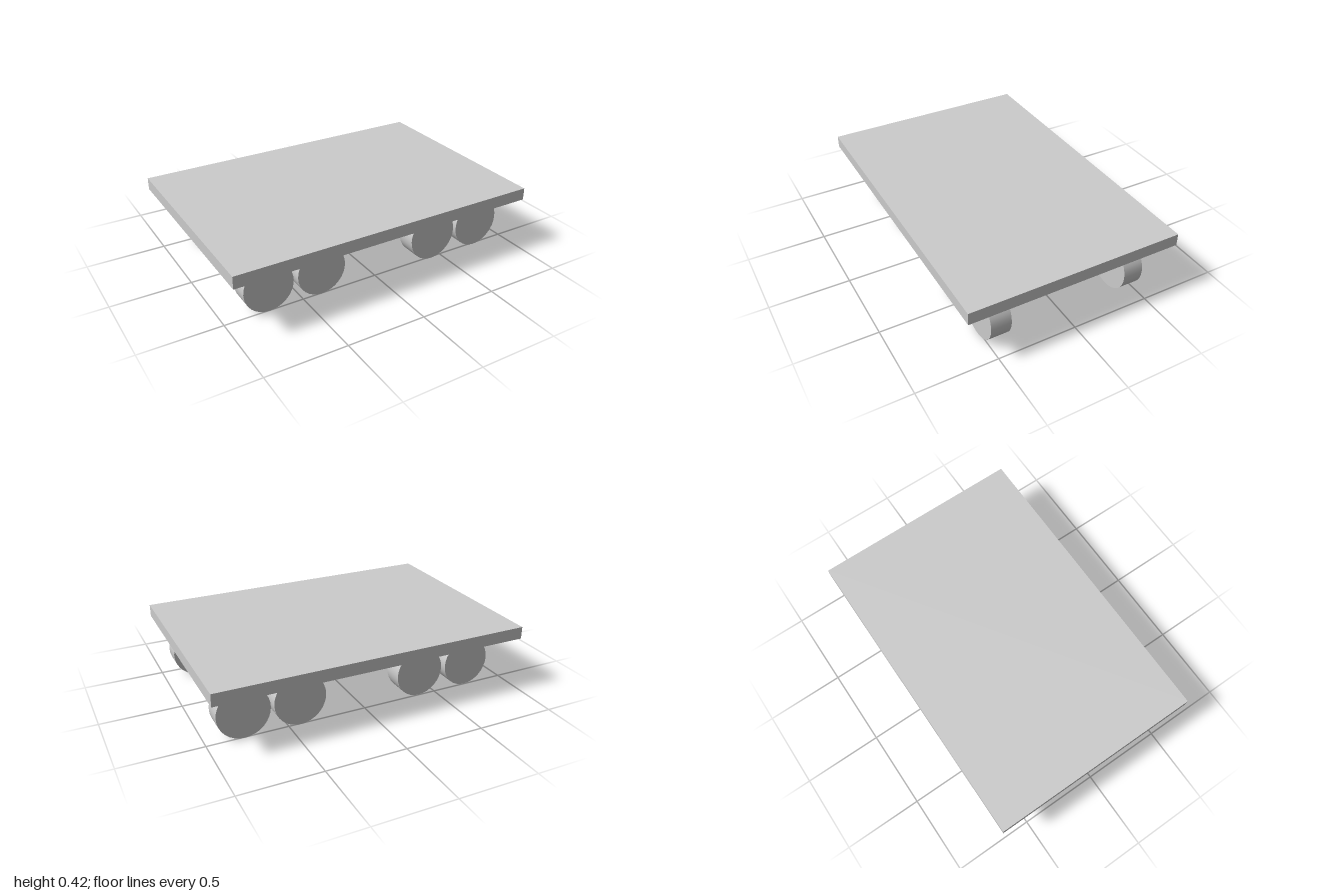
import * as THREE from 'three';

export function createModel() {
  const model = new THREE.Group();
  model.name = 'wheeledPlatform';
  const material = new THREE.MeshStandardMaterial({ color: 0xcccccc });

  // Flat deck, floating just above the wheels
  const deck = new THREE.Mesh(new THREE.BoxGeometry(2, 0.078, 1.36), material);
  deck.name = 'deck';
  deck.position.y = 0.383;
  model.add(deck);

  // Four pairs of wheels; the +x pairs are slightly larger
  const wheelRows = [
    { x: -0.722, radius: 0.157 },
    { x: -0.38, radius: 0.157 },
    { x: 0.425, radius: 0.163 },
    { x: 0.772, radius: 0.163 },
  ];
  for (const { x, radius } of wheelRows) {
    const geometry = new THREE.CylinderGeometry(radius, radius, 0.129, 32);
    geometry.rotateX(Math.PI / 2);
    for (const [side, z] of [['front', 0.447], ['back', -0.442]]) {
      const wheel = new THREE.Mesh(geometry, material);
      wheel.name = side + 'Wheel';
      wheel.position.set(x, 0.164, z);
      model.add(wheel);
    }
  }
  return model;
}
